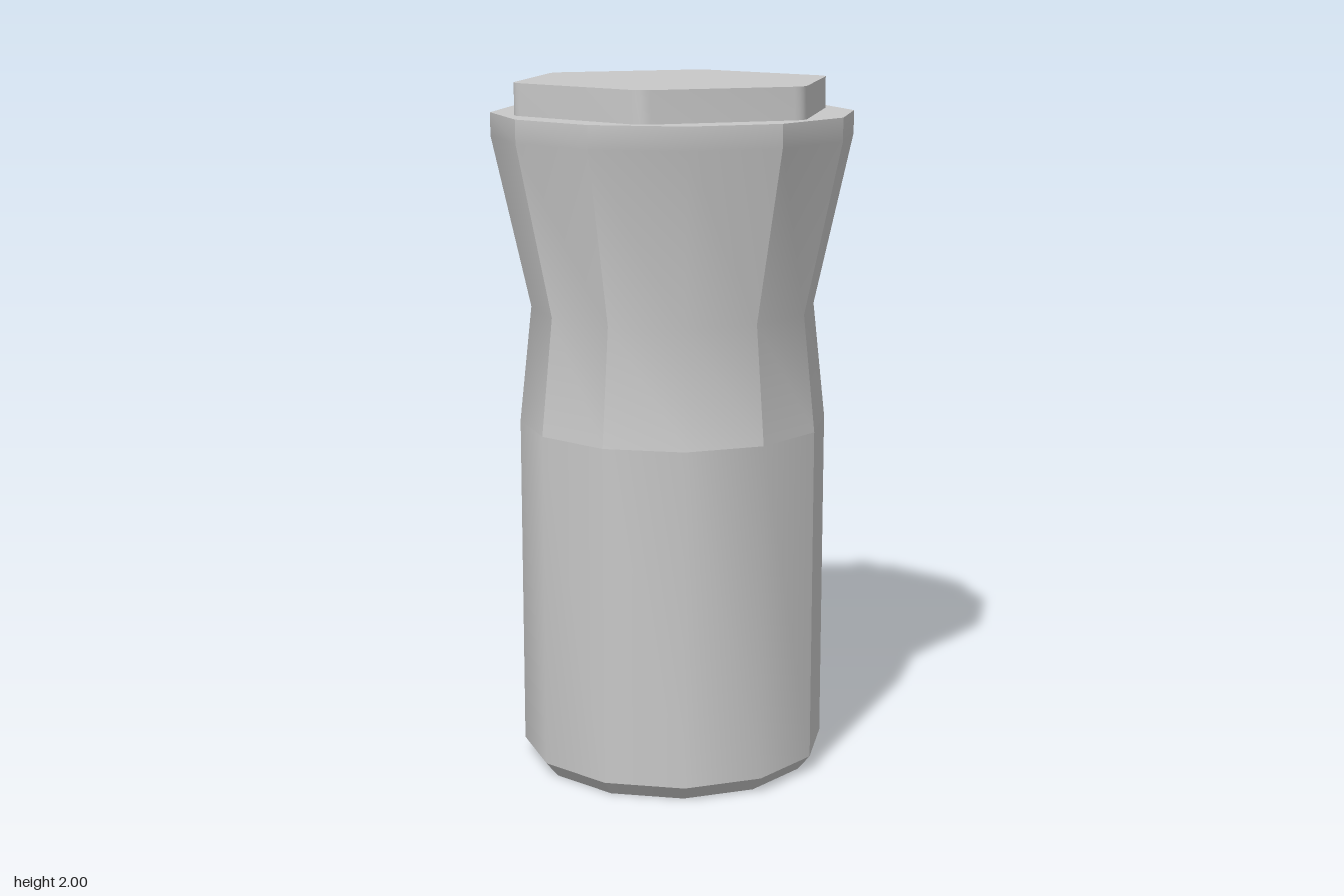
import * as THREE from 'three';
import { toCreasedNormals } from 'three/addons/utils/BufferGeometryUtils.js';

const SIDES = 12;
const STEP = (Math.PI * 2) / SIDES;

// Band of a twelve-sided body; normals stay smooth inside the band only
function band(profile, firstSide, sides) {
  const points = profile.map(([r, y]) => new THREE.Vector2(r, y));
  const start = (firstSide - 1.5) * STEP;
  const geometry = new THREE.LatheGeometry(points, sides, start, sides * STEP);
  geometry.computeVertexNormals();
  return geometry;
}

// Hexagon with rounded corners, pointing along x
function hexShape(apothem, radius) {
  const corners = [];
  for (let i = 0; i < 6; i++) {
    const a = (i * Math.PI) / 3;
    corners.push(new THREE.Vector2(Math.cos(a), Math.sin(a)).multiplyScalar(apothem / Math.cos(Math.PI / 6)));
  }
  const shape = new THREE.Shape();
  const cut = radius * Math.tan(Math.PI / 6);
  corners.forEach((c, i) => {
    const toward = (o) => o.clone().sub(c).setLength(cut).add(c);
    const a = toward(corners[(i + 5) % 6]);
    const b = toward(corners[(i + 1) % 6]);
    if (i === 0) shape.moveTo(a.x, a.y);
    else shape.lineTo(a.x, a.y);
    shape.quadraticCurveTo(c.x, c.y, b.x, b.y);
  });
  shape.closePath();
  return shape;
}

export function createModel() {
  const group = new THREE.Group();
  const grey = new THREE.MeshStandardMaterial({ color: 0xc8c8c8 });
  grey.name = 'light grey';

  const add = (name, geometry) => {
    const mesh = new THREE.Mesh(geometry, grey);
    mesh.name = name;
    group.add(mesh);
    return mesh;
  };

  const chamfer = [[0.408, 0], [0.445, 0.045]];
  const barrel = [[0.445, 0.045], [0.445, 1.02]];
  const neck = [[0.445, 1.02], [0.409, 1.355], [0.5176, 1.845], [0.5176, 1.91]];

  // Four identical quarters with hard edges on the diagonals
  for (let q = 0; q < 4; q++) {
    const first = q * 3;
    add('bottomChamfer', band(chamfer, first, 3));
    add('barrel', band(barrel, first, 3));
    add('flaredNeck', band(neck, first, 2));
    add('flaredNeckFacet', band(neck, first + 2, 1));
  }

  // Flat ends of the body
  const shoulder = add('shoulder', new THREE.CircleGeometry(0.5176, SIDES, STEP / 2));
  shoulder.rotation.x = -Math.PI / 2;
  shoulder.position.y = 1.91;
  const base = add('base', new THREE.CircleGeometry(0.408, SIDES, STEP / 2));
  base.rotation.x = Math.PI / 2;

  // Hexagonal cap
  const hex = new THREE.ExtrudeGeometry(hexShape(0.409, 0.055), {
    depth: 0.09, bevelEnabled: false, curveSegments: 4,
  });
  const cap = add('hexCap', toCreasedNormals(hex, 0.6));
  cap.rotation.x = -Math.PI / 2;
  cap.position.y = 1.91;

  return group;
}
